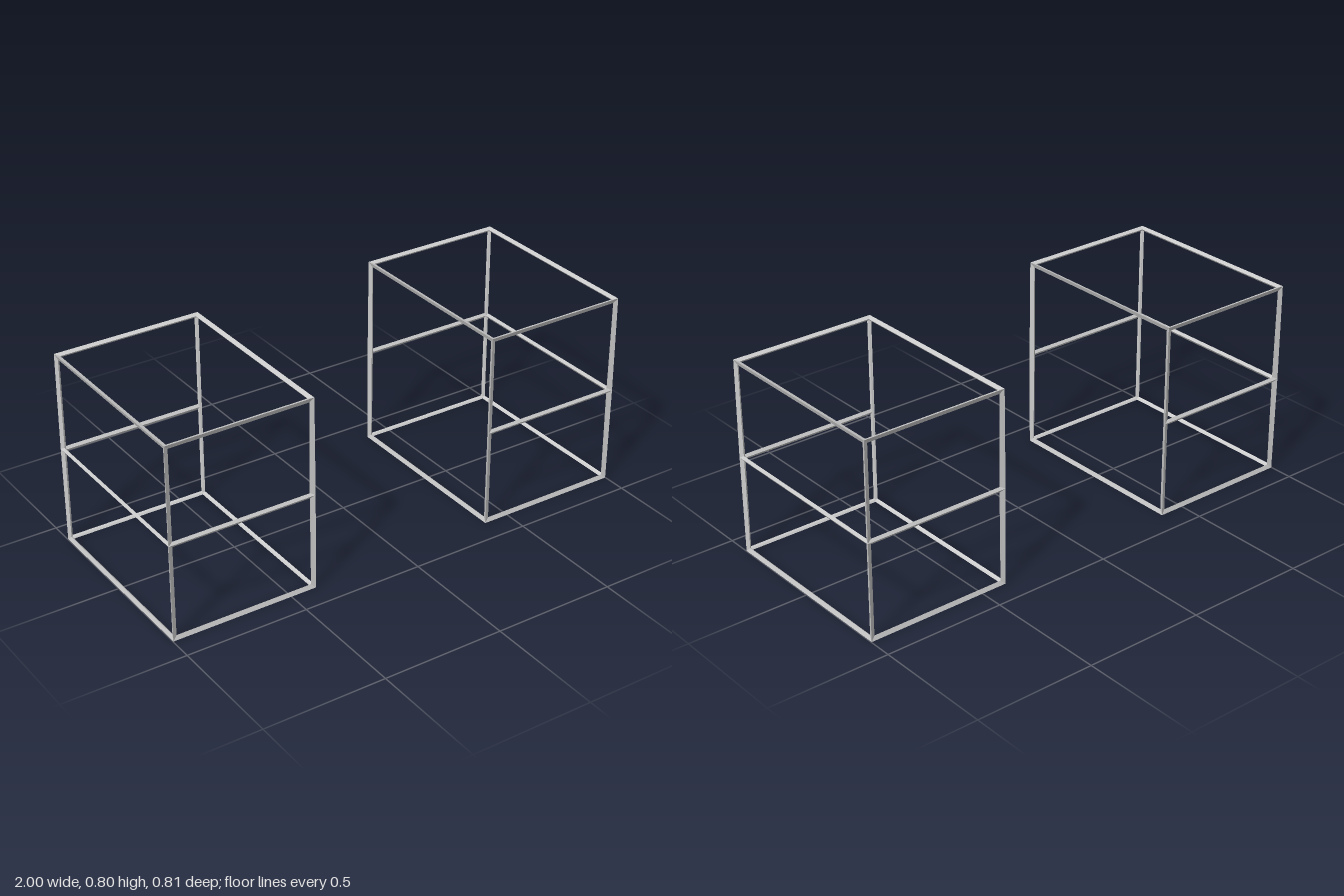
import * as THREE from 'three';

const HALF = new THREE.Vector3(0.2963, 0.3946, 0.395); // half size of a crate, to the bar centre lines
const CENTRE = new THREE.Vector3(0.6959, 0.401, 0);
const BAR = 0.011; // half width of a bar

// One wall of the crate: a mitred frame running round a loop of corners.
// Corners are given as signs (-1, 0, 1), anticlockwise seen from outside.
function wallFrame(name, normal, loop, material) {
  const signs = loop.map((c) => new THREE.Vector3(...c));
  const points = signs.map((s) => s.clone().multiply(HALF));
  const n = points.length;
  const outward = new THREE.Vector3(...normal);
  const inward = points.map((p, i) =>
    outward.clone().cross(points[(i + 1) % n].clone().sub(p).normalize()));

  // Ridges outside and inside the wall, and the inset edge of the opening
  const ridge = (dist) => points.map((p, i) =>
    p.clone().addScaledVector(signs[i].clone().normalize(), dist));
  const outer = ridge(BAR);
  const inner = ridge(-BAR);
  const inset = points.map((p, i) => {
    const a = inward[(i + n - 1) % n], b = inward[i];
    const q = p.clone().addScaledVector(a, BAR);
    return a.dot(b) > 0.9 ? q : q.addScaledVector(b, BAR);
  });

  const positions = [];
  const quad = (a, b, c, d) => {
    for (const v of [a, b, c, a, c, d]) positions.push(v.x, v.y, v.z);
  };
  for (let i = 0; i < n; i++) {
    const j = (i + 1) % n;
    quad(outer[i], outer[j], inset[j], inset[i]);
    quad(inner[j], inner[i], inset[i], inset[j]);
  }
  const geometry = new THREE.BufferGeometry();
  geometry.setAttribute('position', new THREE.Float32BufferAttribute(positions, 3));
  geometry.computeVertexNormals();
  const mesh = new THREE.Mesh(geometry, material);
  mesh.name = name;
  return mesh;
}

// Open crate: outer side at +x, where the middle rail runs; none on the inner side
function crate(name, material) {
  const group = new THREE.Group();
  group.name = name;
  const add = (...args) => group.add(wallFrame(...args, material));

  // Front, outer side and back are split by the middle rail
  for (const [row, y0, y1] of [['Lower', -1, 0], ['Upper', 0, 1]]) {
    const wall = (part, normal, [ax, az], [bx, bz]) => add(part + row + 'Frame', normal,
      [[ax, y0, az], [bx, y0, bz], [bx, y1, bz], [ax, y1, az]]);
    wall('front', [0, 0, 1], [-1, 1], [1, 1]);
    wall('outerSide', [1, 0, 0], [1, 1], [1, -1]);
    wall('back', [0, 0, -1], [1, -1], [-1, -1]);
  }
  add('innerSideFrame', [-1, 0, 0],
    [[-1, -1, -1], [-1, -1, 1], [-1, 0, 1], [-1, 1, 1], [-1, 1, -1], [-1, 0, -1]]);
  add('topFrame', [0, 1, 0], [[-1, 1, 1], [1, 1, 1], [1, 1, -1], [-1, 1, -1]]);
  add('bottomFrame', [0, -1, 0], [[-1, -1, -1], [1, -1, -1], [1, -1, 1], [-1, -1, 1]]);
  return group;
}

export function createModel() {
  const model = new THREE.Group();
  model.name = 'wireCrates';
  const material = new THREE.MeshStandardMaterial({ color: 0xcccccc, flatShading: true });

  const left = crate('leftCrate', material);
  left.position.copy(CENTRE);

  // The second crate is the first turned half round, so its open side also faces inward
  const right = crate('rightCrate', material);
  right.position.set(-CENTRE.x, CENTRE.y, 0);
  right.rotation.y = Math.PI;

  model.add(left, right);
  return model;
}
